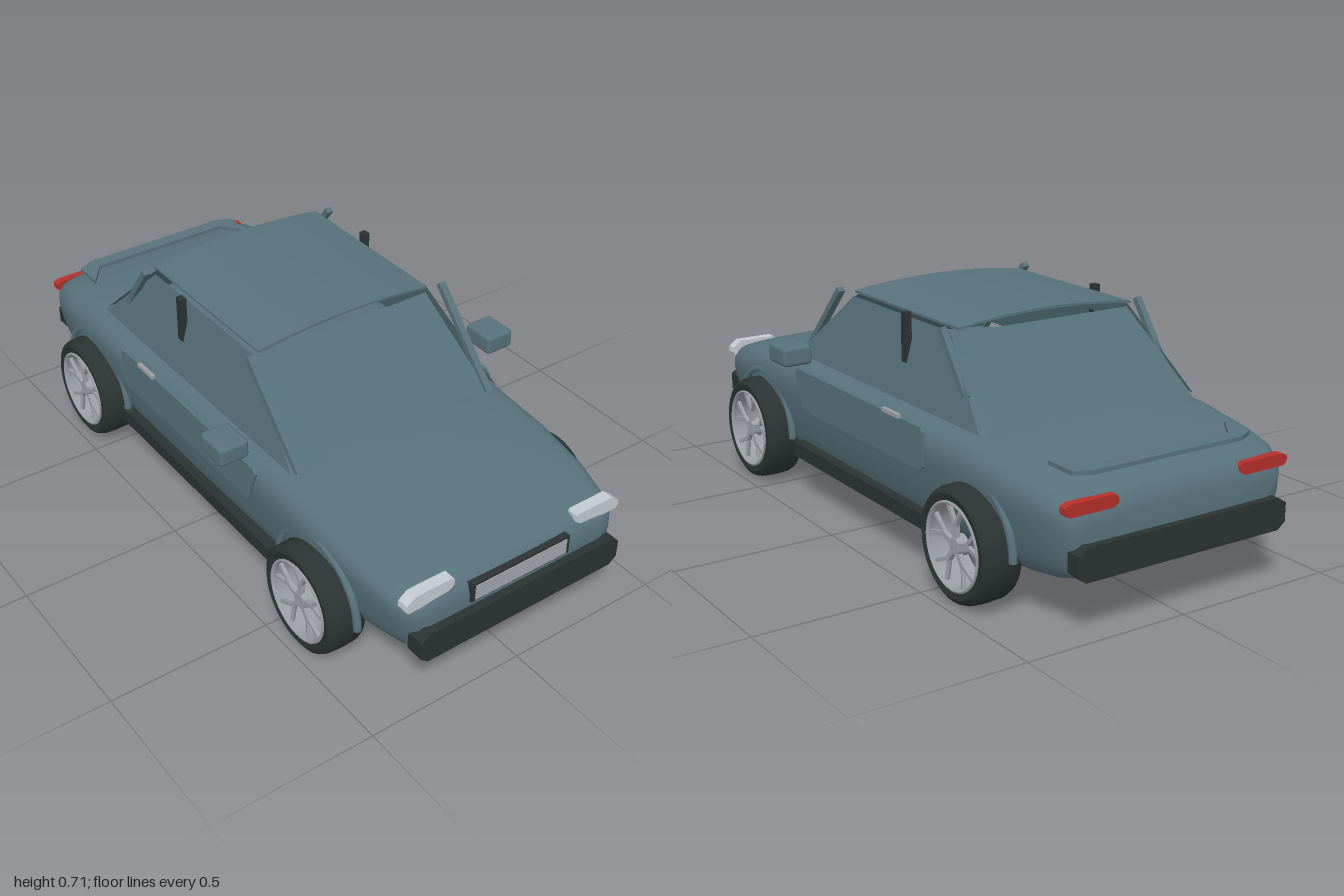
import * as THREE from 'three';
import { RoundedBoxGeometry } from 'three/addons/geometries/RoundedBoxGeometry.js';
import { toCreasedNormals } from 'three/addons/utils/BufferGeometryUtils.js';

const mat = (name, color, side = THREE.FrontSide) => {
  const m = new THREE.MeshStandardMaterial({ color, side });
  m.name = name;
  return m;
};
const paint = mat('body paint', 0x57717b);
const glass = mat('window glass', 0x557079, THREE.DoubleSide);
const rubber = mat('dark rubber', 0x2b3333);
const silver = mat('rim silver', 0x9a9ea3);
const lamp = mat('headlight', 0xc4c9d2);
const red = mat('tail light', 0xb52f29);

const V = (x, y, z) => new THREE.Vector3(x, y, z);

function add(parent, name, geometry, material, x = 0, y = 0, z = 0) {
  const m = new THREE.Mesh(geometry, material);
  m.name = name;
  m.position.set(x, y, z);
  parent.add(m);
  return m;
}

const box = (w, h, d) => new THREE.BoxGeometry(w, h, d);

// square bar running from a to b
function beam(parent, name, a, b, w, d, material) {
  const m = add(parent, name, box(w, d, a.distanceTo(b)), material);
  m.position.copy(a).add(b).multiplyScalar(0.5);
  m.lookAt(b);
  return m;
}

// plate cut from an outline in x and y, running from z to z + depth
function plate(parent, name, outline, z, depth, material) {
  const shape = new THREE.Shape(outline.map(([x, y]) => new THREE.Vector2(x, y)));
  const g = new THREE.ExtrudeGeometry(shape, { depth, bevelEnabled: false });
  return add(parent, name, g, material, 0, 0, z);
}

// flat pane through four corners
function pane(parent, name, corners) {
  const g = new THREE.BufferGeometry().setFromPoints(corners);
  g.setIndex([0, 1, 2, 0, 2, 3]);
  g.computeVertexNormals();
  return add(parent, name, g, glass);
}

// body shell: one half section, scaled at stations along z
function bodyGeometry() {
  const half = new THREE.SplineCurve([
    [0, 0], [0.5, 0], [0.8, 0], [0.89, 0.08], [0.945, 0.25], [0.985, 0.5], [1, 0.68],
    [0.985, 0.8], [0.93, 0.9], [0.83, 0.945], [0.6, 0.975], [0.3, 0.995], [0, 1],
  ].map(([x, y]) => new THREE.Vector2(x, y))).getPoints(30);
  const ring = [...half, ...half.slice(1, -1).reverse().map(p => new THREE.Vector2(-p.x, p.y))];
  // z, half width, bottom, top
  const stations = [
    [-0.978, 0.30, 0.20, 0.31], [-0.97, 0.345, 0.168, 0.345], [-0.95, 0.367, 0.153, 0.38],
    [-0.9, 0.39, 0.142, 0.408], [-0.8, 0.41, 0.132, 0.424], [-0.62, 0.42, 0.127, 0.45],
    [-0.4, 0.425, 0.125, 0.455], [0, 0.425, 0.125, 0.455], [0.42, 0.42, 0.125, 0.452],
    [0.62, 0.415, 0.13, 0.437], [0.8, 0.4, 0.14, 0.41], [0.9, 0.38, 0.15, 0.382],
    [0.945, 0.362, 0.162, 0.36], [0.965, 0.34, 0.178, 0.338], [0.975, 0.30, 0.20, 0.305],
  ];
  const n = ring.length, pos = [], idx = [];
  for (const [z, w, b, t] of stations) for (const p of ring) pos.push(p.x * w, b + p.y * (t - b), z);
  for (let i = 0; i < stations.length - 1; i++) for (let j = 0; j < n; j++) {
    const a = i * n + j, b = i * n + (j + 1) % n;
    idx.push(a, b, a + n, b, b + n, a + n);
  }
  const last = (stations.length - 1) * n, c = pos.length / 3;
  pos.push(0, 0.26, -0.98, 0, 0.25, 0.977);
  for (let j = 0; j < n; j++) {
    const k = (j + 1) % n;
    idx.push(c, k, j, c + 1, last + j, last + k);
  }
  const g = new THREE.BufferGeometry();
  g.setAttribute('position', new THREE.Float32BufferAttribute(pos, 3));
  g.setIndex(idx);
  g.computeVertexNormals();
  return g;
}

// thin roof panel, crowned across its width
function roofGeometry() {
  const g = new THREE.BoxGeometry(0.6, 0.007, 0.57, 20, 1, 8), p = g.attributes.position;
  for (let i = 0; i < p.count; i++) {
    const x = p.getX(i) / 0.3;
    p.setY(i, p.getY(i) + 0.021 * (1 - x * x));
  }
  g.computeVertexNormals();
  return g;
}

// open tyre and five forked spokes, outer side towards +x
function wheel() {
  const g = new THREE.Group();
  g.name = 'wheel';
  const lathe = (name, pts, material) => {
    const geo = new THREE.LatheGeometry(pts.map(([r, y]) => new THREE.Vector2(r, y)), 40);
    add(g, name, toCreasedNormals(geo, 0.7), material).rotation.z = -Math.PI / 2;
  };
  lathe('tyre', [[0.124, -0.058], [0.145, -0.0625], [0.157, -0.055], [0.163, -0.04], [0.165, 0],
    [0.163, 0.04], [0.157, 0.055], [0.145, 0.0625], [0.124, 0.058], [0.124, -0.058]], rubber);
  lathe('rim', [[0.114, -0.05], [0.125, -0.05], [0.125, 0.062], [0.12, 0.064], [0.114, 0.058], [0.114, -0.05]], silver);
  const hub = add(g, 'hub', new THREE.CylinderGeometry(0.024, 0.03, 0.03, 20), silver, 0.038);
  hub.rotation.z = -Math.PI / 2;
  const at = (r, a, x) => V(x, r * Math.cos(a), r * Math.sin(a));
  for (let i = 0; i < 5; i++) {
    const a = i * Math.PI * 0.4;
    beam(g, 'spoke', at(0.015, a, 0.045), at(0.065, a, 0.045), 0.014, 0.014, silver);
    for (const s of [-1, 1]) {
      beam(g, 'spokeFork', at(0.055, a, 0.045), at(0.117, a + s * 0.28, 0.048), 0.011, 0.011, silver);
    }
  }
  return g;
}

export function createModel() {
  const car = new THREE.Group();
  car.name = 'car';
  add(car, 'body', bodyGeometry(), paint);
  add(car, 'roof', roofGeometry(), paint, 0, 0.681, -0.1);

  // front and rear glass
  pane(car, 'windscreen', [V(-0.34, 0.44, 0.435), V(0.34, 0.44, 0.435), V(0.29, 0.67, 0.19), V(-0.29, 0.67, 0.19)]);
  pane(car, 'rearWindow', [V(0.35, 0.44, -0.615), V(-0.35, 0.44, -0.615), V(-0.285, 0.67, -0.385), V(0.285, 0.67, -0.385)]);

  // bumpers with clipped corners
  const bumper = [[-0.35, 0.19], [-0.325, 0.17], [0.325, 0.17], [0.35, 0.19],
    [0.35, 0.245], [0.32, 0.264], [-0.32, 0.264], [-0.35, 0.245]];
  plate(car, 'frontBumper', bumper, 0.945, 0.055, rubber);
  plate(car, 'rearBumper', bumper, -1, 0.045, rubber).position.y = -0.005;

  // grille with slats
  add(car, 'grille', box(0.345, 0.06, 0.04), rubber, 0, 0.31, 0.962);
  for (let i = 0; i < 5; i++) add(car, 'grilleSlat', box(0.32, 0.007, 0.006), silver, 0, 0.29 + i * 0.01, 0.983);

  // boot lip
  const lip = add(car, 'bootLip', new THREE.ExtrudeGeometry(new THREE.Shape(
    [[-0.3, 0.8], [-0.24, 0.88], [0.24, 0.88], [0.3, 0.8], [0.3, 0.9], [0.25, 0.925], [-0.25, 0.925], [-0.3, 0.9]]
      .map(([x, y]) => new THREE.Vector2(x, y))), { depth: 0.012, bevelEnabled: false }), paint, 0, 0.413, 0);
  lip.rotation.x = -Math.PI / 2;

  for (const s of [1, -1]) {
    const P = (x, y, z) => V(s * x, y, z);
    const flip = pts => pts.map(([x, y]) => [s * x, y]);

    // cabin side
    pane(car, 'sideWindow', [P(0.37, 0.445, 0.44), P(0.37, 0.445, -0.59), P(0.31, 0.67, -0.36), P(0.31, 0.67, 0.175)]);
    beam(car, 'frontPillar', P(0.34, 0.435, 0.44), P(0.34, 0.69, 0.2), 0.022, 0.018, paint);
    beam(car, 'rearPillar', P(0.34, 0.685, -0.365), P(0.34, 0.52, -0.485), 0.02, 0.018, paint);
    add(car, 'middlePillar', box(0.02, 0.145, 0.025), rubber, s * 0.335, 0.62, -0.17);

    // mirror, door, handle and sill
    add(car, 'mirror', new RoundedBoxGeometry(0.095, 0.06, 0.11, 2, 0.012), paint, s * 0.478, 0.495, 0.277);
    const door = new THREE.Shape([[-0.35, 0.41], [-0.31, 0.3], [0.385, 0.3], [0.4, 0.315], [0.4, 0.41], [0.39, 0.425], [-0.335, 0.425]]
      .map(([x, y]) => new THREE.Vector2(x, y)));
    const panel = add(car, 'door', new THREE.ExtrudeGeometry(door, { depth: 0.009, bevelEnabled: false }),
      paint, s * (s > 0 ? 0.419 : 0.428), 0, 0);
    panel.rotation.y = Math.PI / 2;
    add(car, 'doorHandle', box(0.012, 0.012, 0.085), silver, s * 0.43, 0.43, -0.24);
    add(car, 'sill', box(0.04, 0.045, 0.85), rubber, s * 0.4, 0.148, -0.03);

    // lamps
    plate(car, 'headlight', flip([[0.215, 0.35], [0.245, 0.33], [0.365, 0.328], [0.374, 0.338],
      [0.372, 0.355], [0.345, 0.376], [0.22, 0.376], [0.215, 0.37]]), 0.925, 0.035, lamp);
    plate(car, 'tailLight', flip([[0.205, 0.345], [0.22, 0.335], [0.36, 0.335], [0.372, 0.345],
      [0.372, 0.362], [0.355, 0.37], [0.215, 0.37], [0.205, 0.36]]), -0.972, 0.025, red);

    // wheels under slim arch lips
    for (const z of [0.615, -0.615]) {
      const w = wheel();
      w.position.set(s * 0.4125, 0.165, z);
      if (s < 0) w.rotation.y = Math.PI;
      car.add(w);
      const arch = add(car, 'wheelArch', new THREE.TorusGeometry(0.185, 0.012, 8, 32, Math.PI), paint, s * 0.405, 0.168, z);
      arch.rotation.y = Math.PI / 2;
    }
  }
  return car;
}
